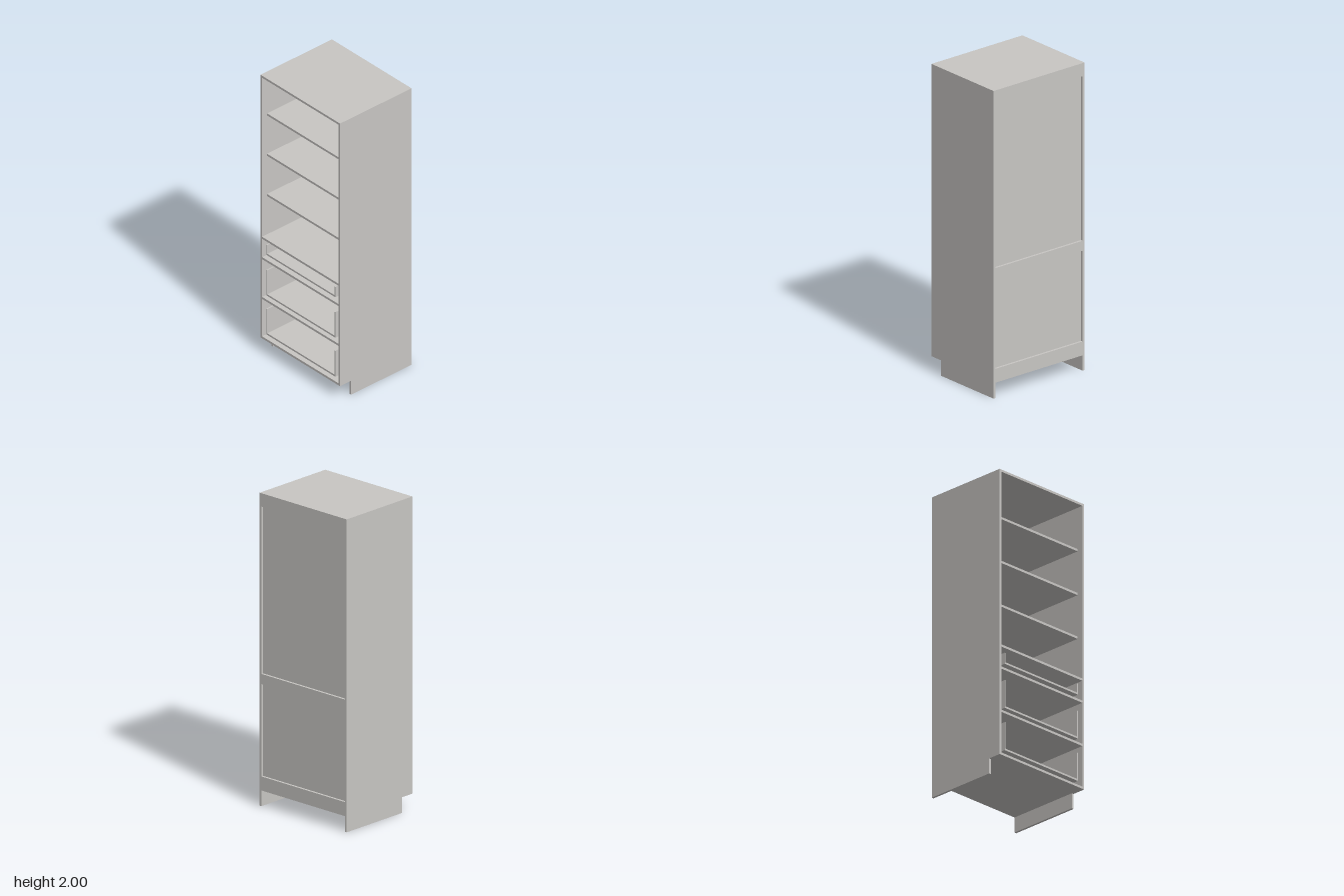
import * as THREE from 'three';

const W = 0.36;   // half width
const D = 0.29;   // half depth
const T = 0.015;  // board thickness

export function createModel() {
  const model = new THREE.Group();
  model.name = 'tallCabinet';
  const board = new THREE.MeshStandardMaterial({ color: 0xc8c6c3 });
  board.name = 'paleGreyBoard';

  // Box given by its minimum and maximum on each axis
  function box(name, [x0, x1], [y0, y1], [z0, z1], parent = model) {
    const mesh = new THREE.Mesh(new THREE.BoxGeometry(x1 - x0, y1 - y0, z1 - z0), board);
    mesh.name = name;
    mesh.position.set((x0 + x1) / 2, (y0 + y1) / 2, (z0 + z1) / 2);
    parent.add(mesh);
    return mesh;
  }

  // Side panels with a toe-kick notch at the lower front; shape x is -z
  const outline = new THREE.Shape([
    [-0.2, 0], [D, 0], [D, 2], [-D, 2], [-D, 0.1], [-0.2, 0.1],
  ].map(([x, y]) => new THREE.Vector2(x, y)));
  const sideGeometry = new THREE.ExtrudeGeometry(outline, { depth: T, bevelEnabled: false });
  sideGeometry.rotateY(Math.PI / 2);
  for (const [name, x] of [['leftSide', W - T], ['rightSide', -W]]) {
    const side = new THREE.Mesh(sideGeometry, board);
    side.name = name;
    side.position.x = x;
    model.add(side);
  }

  const inner = [-W + T, W - T];
  const backFace = -D + T;          // outer face of the recessed back
  const backInside = backFace + 0.01;

  // Top, bottom and fixed dividers, flush with the front
  box('top', inner, [2 - T, 2], [-D, D]);
  box('bottom', inner, [0.1, 0.1 + T], [backFace, D]);
  [0.82, 0.673, 0.385].forEach((y, i) =>
    box(`divider${i + 1}`, inner, [y, y + T], [backInside, D]));

  // Loose shelves, set back from the front
  [1.695, 1.403, 1.112].forEach((y, i) =>
    box(`shelf${i + 1}`, inner, [y, y + T], [backInside, 0.25]));

  // Recessed back panel and the rails behind it
  box('backPanel', inner, [0.1 + T, 2 - T], [backFace, backInside]);
  box('backTopRail', inner, [1.915, 2 - T], [-D, backFace]);
  box('backMiddleRail', inner, [0.78, 0.845], [-D, backFace]);
  box('backBottomRail', inner, [0.1, 0.19], [-D, backFace]);

  // Open-fronted drawer trays
  const X = 0.312, wall = 0.008, floor = 0.012, front = 0.285, rear = -0.24;
  [[0.718, 0.792], [0.425, 0.61], [0.143, 0.33]].forEach(([y0, y1], i) => {
    const tray = new THREE.Group();
    tray.name = `drawerTray${i + 1}`;
    model.add(tray);
    box('trayFloor', [-X, X], [y0, y0 + floor], [rear, front], tray);
    box('trayLeftWall', [X - wall, X], [y0 + floor, y1], [rear, front], tray);
    box('trayRightWall', [-X, -X + wall], [y0 + floor, y1], [rear, front], tray);
    box('trayBackWall', [-X + wall, X - wall], [y0 + floor, y1], [rear, rear + wall], tray);
  });

  return model;
}
